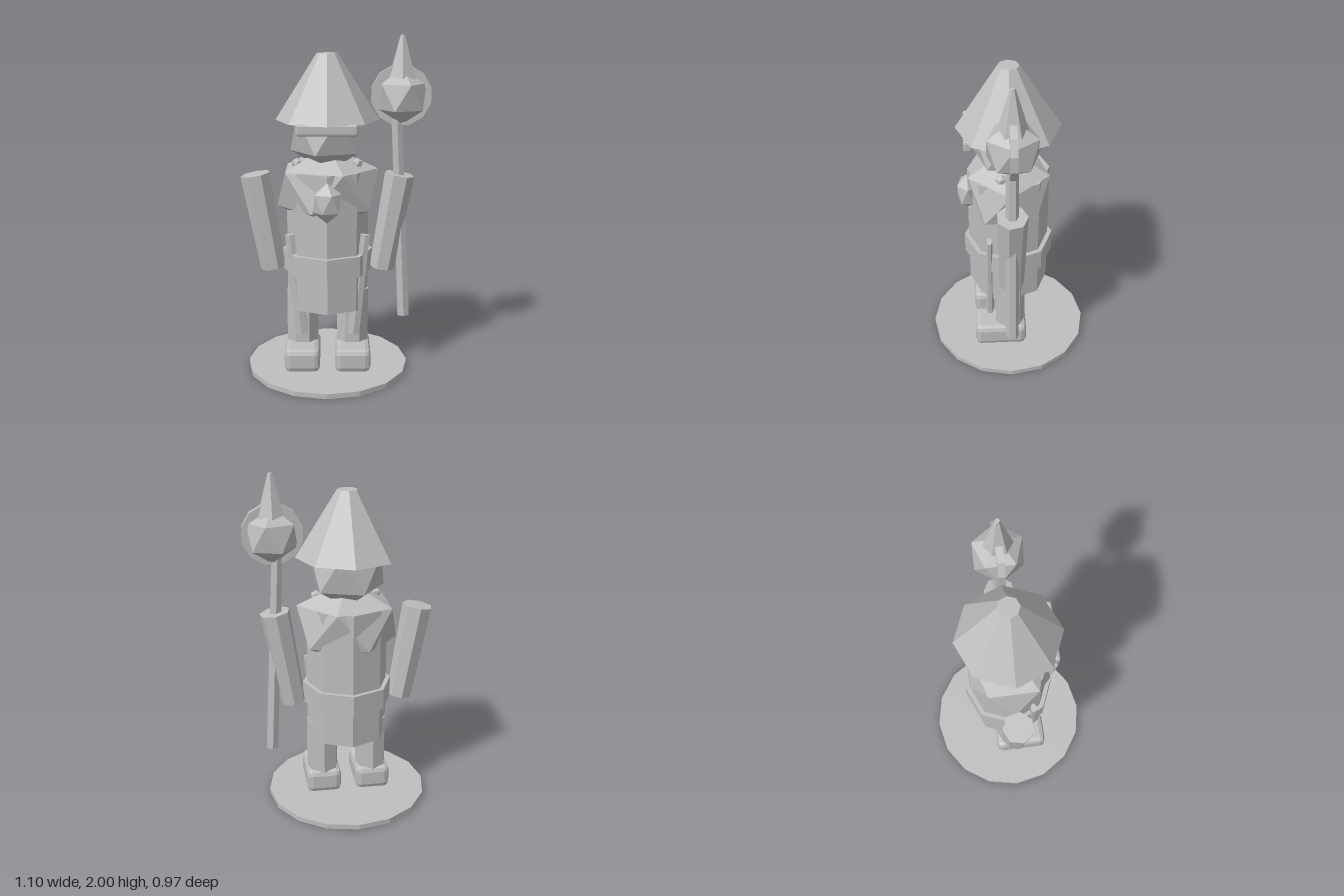
import * as THREE from 'three';
import { ConvexGeometry } from 'three/addons/geometries/ConvexGeometry.js';
import { RoundedBoxGeometry } from 'three/addons/geometries/RoundedBoxGeometry.js';

const CX = -0.045; // centre line of the figure

export function createModel() {
  const model = new THREE.Group();
  const stone = new THREE.MeshStandardMaterial({ color: 0xbfbfbf, flatShading: true });
  stone.name = 'grey stone';

  function add(name, geometry, x, y, z) {
    const mesh = new THREE.Mesh(geometry, stone);
    mesh.name = name;
    mesh.position.set(x, y, z);
    model.add(mesh);
    return mesh;
  }

  // upright prism from y0 to y1
  function prism(name, rTop, rBottom, y0, y1, sides, x = CX, turn = 0) {
    const g = new THREE.CylinderGeometry(rTop, rBottom, y1 - y0, sides).rotateY(turn);
    return add(name, g, x, (y0 + y1) / 2, 0);
  }

  // tapered prism leaning sideways between two points
  function limb(name, rTop, rBottom, top, bottom, z, sides, depth = 1) {
    const dx = top[0] - bottom[0], dy = top[1] - bottom[1];
    const g = new THREE.CylinderGeometry(rTop, rBottom, Math.hypot(dx, dy), sides).rotateY(Math.PI);
    g.scale(1, 1, depth);
    const m = add(name, g, (top[0] + bottom[0]) / 2, (top[1] + bottom[1]) / 2, z);
    m.rotation.z = -Math.atan2(dx, dy);
    return m;
  }

  // twenty-sided gem with vertical poles and two five-point rings
  function gem(name, rx, ry, rz, x, y, z) {
    const points = [new THREE.Vector3(0, ry, 0), new THREE.Vector3(0, -ry, 0)];
    for (let i = 0; i < 5; i++) {
      const a = (i * Math.PI * 2) / 5;
      const c = 0.8944 * Math.cos(a) * rx, s = 0.8944 * Math.sin(a) * rz;
      points.push(new THREE.Vector3(c, 0.4472 * ry, s), new THREE.Vector3(-c, -0.4472 * ry, s));
    }
    return add(name, new ConvexGeometry(points), x, y, z);
  }

  // base, body and clothing
  prism('base', 0.485, 0.485, 0, 0.03, 16);
  prism('torso', 0.24, 0.24, 0.41, 1.235, 8);
  prism('belt', 0.267, 0.267, 0.625, 0.75, 8);
  gem('shoulderCape', 0.332, 0.25, 0.275, CX, 1.122, 0);
  gem('chestOrnament', 0.092, 0.117, 0.07, CX, 1.08, 0.24);

  // head, brow bar and hat
  gem('head', 0.24, 0.24, 0.24, CX, 1.45, 0);
  add('browBar', new RoundedBoxGeometry(0.345, 0.065, 0.05, 1, 0.012), CX, 1.495, 0.23);
  prism('hat', 0.06, 0.3, 1.52, 1.9, 8);

  // paired parts
  for (const [side, s] of [['left', 1], ['right', -1]]) {
    const at = (d) => CX + s * d;
    add(side + 'Boot', new RoundedBoxGeometry(0.21, 0.145, 0.32, 1, 0.032), at(0.151), 0.103, 0.058);
    prism(side + 'Leg', 0.096, 0.096, 0.1, 0.5, 7, at(0.151), Math.PI);
    limb(side + 'Arm', 0.09, 0.076, [at(0.423), 1.2], [at(0.325), 0.63], 0, 7);
    limb(side + 'Sash', 0.03, 0.042, [at(0.22), 0.865], [at(0.153), 0.25], 0.123, 6, 0.58);
    gem(side + 'ShoulderStud', 0.035, 0.03, 0.035, at(0.175), 1.275, 0.05);
  }

  // staff with its ornate head
  limb('staff', 0.035, 0.039, [0.355, 1.56], [0.416, 0.325], 0, 6);
  gem('staffGem', 0.16, 0.165, 0.16, 0.38, 1.655, 0);
  const disc = new THREE.CylinderGeometry(0.177, 0.177, 0.04, 12).rotateY(Math.PI / 12).rotateX(Math.PI / 2);
  add('staffDisc', disc, 0.379, 1.662, 0);
  prism('staffSpike', 0.014, 0.086, 1.75, 2, 6, 0.382);

  return model;
}
